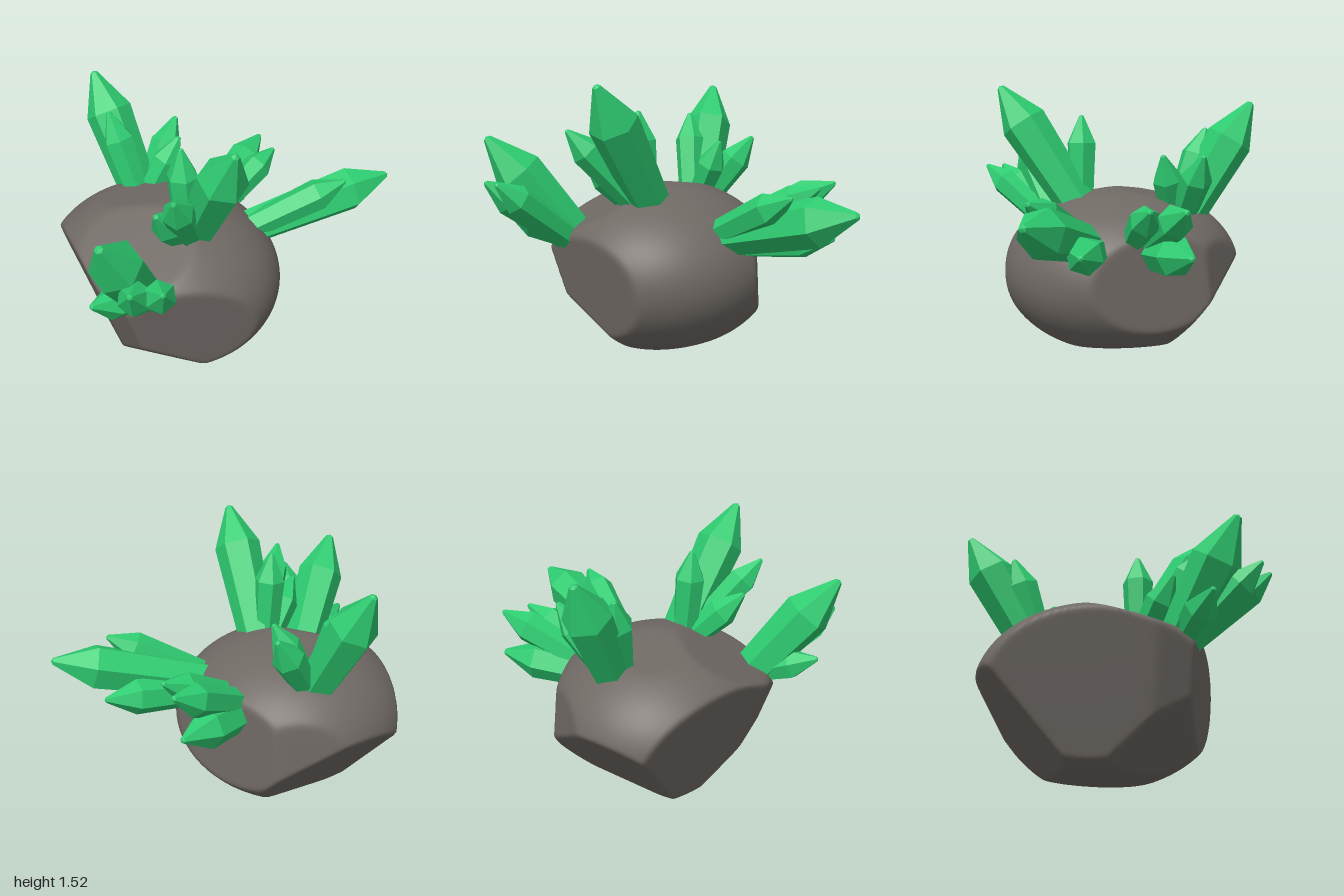
import * as THREE from 'three';
import { mergeVertices } from 'three/addons/utils/BufferGeometryUtils.js';

const rockMaterial = new THREE.MeshStandardMaterial({ color: 0x6f6964 });
const crystalMaterial = new THREE.MeshStandardMaterial({ color: 0x2ecc71, flatShading: true });

// Boulder: an ellipsoid cut by flat planes, with slightly softened edges
function makeRock() {
  const centre = new THREE.Vector3(0, 0.48, 0.15);
  const radii = new THREE.Vector3(0.69, 0.48, 0.66);
  // each cut: outward normal x, y, z and distance from the origin
  const cuts = [
    [-0.37, -0.32, 0.87, 0.374],   // large front face
    [0, -0.33, 0.944, 0.465],      // right part of the front face
    [0.82, -0.15, 0.54, 0.555],    // front right face
    [0.29, -0.74, 0.60, 0.205],    // lower front face
    [0, -0.987, -0.16, -0.066],    // underside
    [-0.73, -0.66, -0.15, 0.105],  // lower left face
    [0.155, 0.9, 0.41, 0.955],     // upper front face
    [-0.2, 0.97, 0, 0.928],        // upper left face
    [-0.15, 0.05, -0.99, 0.43],    // back face
    [-0.73, 0.1, -0.68, 0.57],     // back left face
  ].map(([x, y, z, d]) => {
    const n = new THREE.Vector3(x, y, z);
    const length = n.length();
    n.divideScalar(length);
    return { n, d: d / length - n.dot(centre) };
  });

  let geometry = new THREE.IcosahedronGeometry(1, 45);
  geometry.deleteAttribute('uv');
  geometry.deleteAttribute('normal');
  geometry = mergeVertices(geometry, 1e-5);
  const position = geometry.attributes.position;
  const dir = new THREE.Vector3();
  const sharpness = 110;
  for (let i = 0; i < position.count; i++) {
    dir.fromBufferAttribute(position, i).normalize();
    // soft minimum of the distances to the ellipsoid and to every cut
    let sum = Math.pow(dir.clone().divide(radii).length(), sharpness);
    for (const { n, d } of cuts) sum += Math.pow(Math.max(0, n.dot(dir)) / d, sharpness);
    dir.multiplyScalar(Math.pow(sum, -1 / sharpness)).add(centre);
    position.setXYZ(i, dir.x, dir.y, dir.z);
  }
  geometry.computeVertexNormals();
  const rock = new THREE.Mesh(geometry, rockMaterial);
  rock.name = 'rock';
  return rock;
}

// Six-sided crystal that widens to a shoulder and closes in a blunt point
function makeCrystal(base, tip, radius, turn) {
  const axis = tip.clone().sub(base);
  const length = axis.length();
  const shoulder = Math.max(length * 0.55, length - radius * 1.85);
  const profile = [
    [0, 0], [radius * 0.82, 0], [radius, shoulder],
    [radius * 0.16, length * 0.985], [0, length],
  ].map(([r, y]) => new THREE.Vector2(r, y));
  const geometry = new THREE.LatheGeometry(profile, 6);
  geometry.rotateY(turn);
  const crystal = new THREE.Mesh(geometry, crystalMaterial);
  crystal.position.copy(base);
  crystal.quaternion.setFromUnitVectors(new THREE.Vector3(0, 1, 0), axis.normalize());
  crystal.name = 'crystal';
  return crystal;
}

// Each crystal: base x, y, z, tip x, y, z, radius
const clusters = {
  leftCluster: [
    [-0.34, 0.80, 0.0, -0.73, 1.45, -0.01, 0.135],
    [-0.31, 0.82, 0.04, -0.49, 1.30, 0.09, 0.09],
    [-0.27, 0.82, -0.01, -0.17, 1.17, -0.16, 0.085],
    [-0.32, 0.82, -0.06, -0.36, 1.18, -0.32, 0.09],
  ],
  rightCluster: [
    [0.26, 0.86, 0.14, 0.68, 1.54, 0.31, 0.135],
    [0.23, 0.86, 0.18, 0.22, 1.375, 0.22, 0.088],
    [0.27, 0.85, 0.20, 0.49, 1.29, 0.54, 0.085],
    [0.24, 0.85, 0.22, 0.32, 1.13, 0.50, 0.09],
  ],
  frontCluster: [
    [0.30, 0.69, 0.58, 0.47, 1.24, 1.0, 0.14],
    [0.36, 0.68, 0.57, 0.73, 1.03, 0.84, 0.085],
    [0.34, 0.68, 0.60, 0.62, 1.02, 0.95, 0.09],
    [0.31, 0.69, 0.62, 0.33, 0.81, 0.95, 0.09],
  ],
  backRightCluster: [
    [0.28, 0.71, -0.26, 0.70, 0.94, -1.0, 0.13],
    [0.24, 0.67, -0.28, 0.41, 0.76, -0.87, 0.10],
    [0.30, 0.73, -0.24, 0.64, 1.0, -0.67, 0.09],
  ],
  backCluster: [
    [-0.06, 0.70, -0.28, -0.13, 0.96, -0.83, 0.095],
    [0.02, 0.71, -0.27, 0.04, 0.955, -0.76, 0.085],
    [-0.07, 0.65, -0.28, -0.165, 0.72, -0.81, 0.112],
  ],
};

export function createModel() {
  const model = new THREE.Group();
  model.name = 'crystalRock';
  model.add(makeRock());
  for (const [name, crystals] of Object.entries(clusters)) {
    const cluster = new THREE.Group();
    cluster.name = name;
    crystals.forEach(([bx, by, bz, tx, ty, tz, radius], i) => {
      const base = new THREE.Vector3(bx, by, bz);
      const tip = new THREE.Vector3(tx, ty, tz);
      cluster.add(makeCrystal(base, tip, radius, 0.3 + i * 0.7));
    });
    model.add(cluster);
  }
  return model;
}
